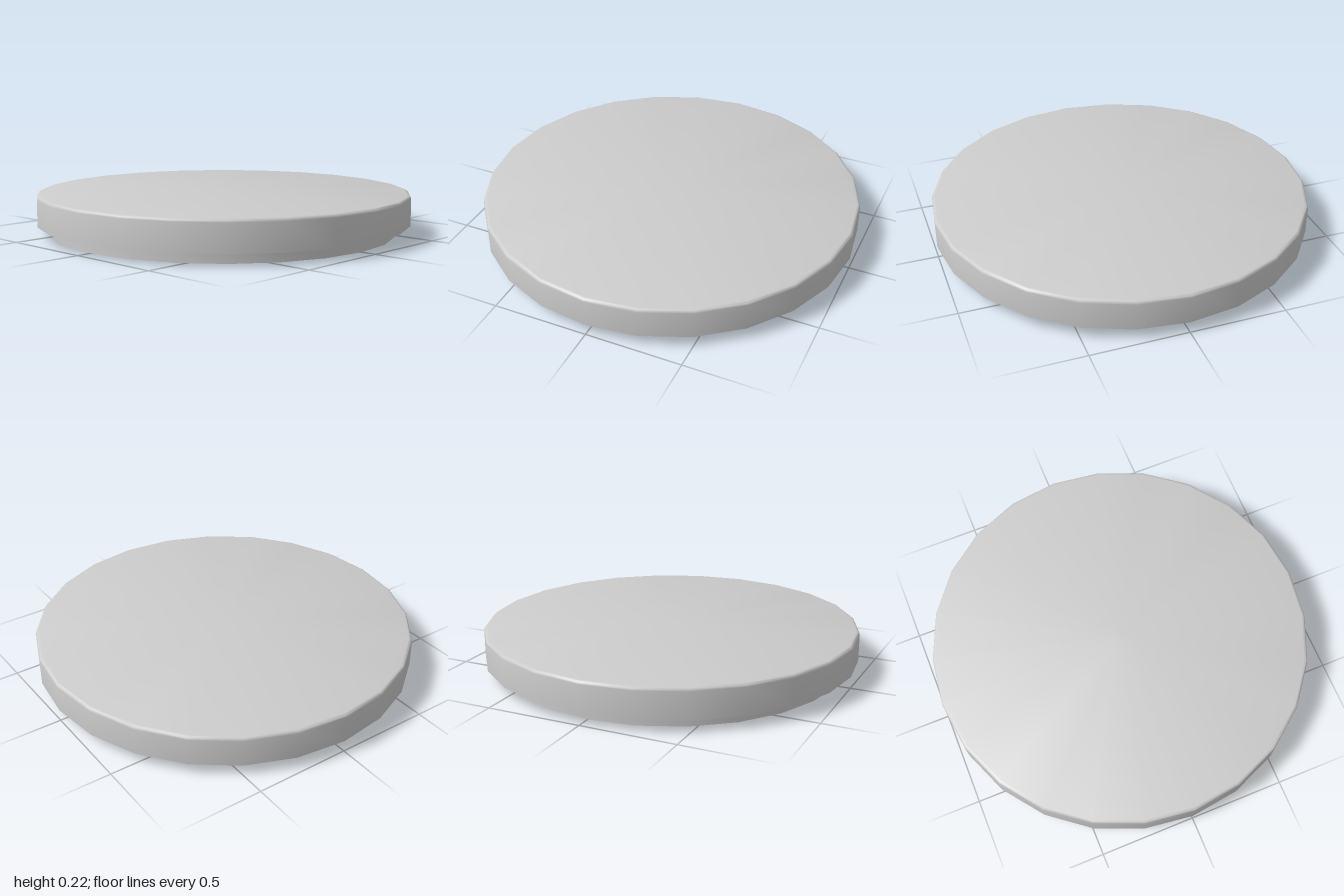
import * as THREE from 'three';
import { toCreasedNormals } from 'three/addons/utils/BufferGeometryUtils.js';

const SIDES = 24;
const HEIGHT = 0.22;
const BEVEL = 0.017;

export function createModel() {
  const group = new THREE.Group();
  group.name = 'roundLid';

  // Half section, from the recess centre round the plug rim and up the outside
  const profile = [
    [0, 0.115], [0.875, 0.115],  // recess ceiling
    [0.875, 0], [0.92, 0],       // plug rim
    [0.92, 0.06], [1, 0.06],     // step under the cap
  ].map(([r, y]) => new THREE.Vector2(r, y));

  // Rounded top edge
  for (let i = 0; i <= 3; i++) {
    const a = (i / 3) * Math.PI / 2;
    profile.push(new THREE.Vector2(
      1 - BEVEL + BEVEL * Math.cos(a),
      HEIGHT - BEVEL + BEVEL * Math.sin(a)
    ));
  }
  profile.push(new THREE.Vector2(0, HEIGHT));

  // Smooth round the sides, sharp at the steps
  const geometry = toCreasedNormals(new THREE.LatheGeometry(profile, SIDES), 0.6);
  const lid = new THREE.Mesh(geometry, new THREE.MeshStandardMaterial({ color: 0xcccccc }));
  lid.name = 'lid';
  group.add(lid);
  return group;
}
